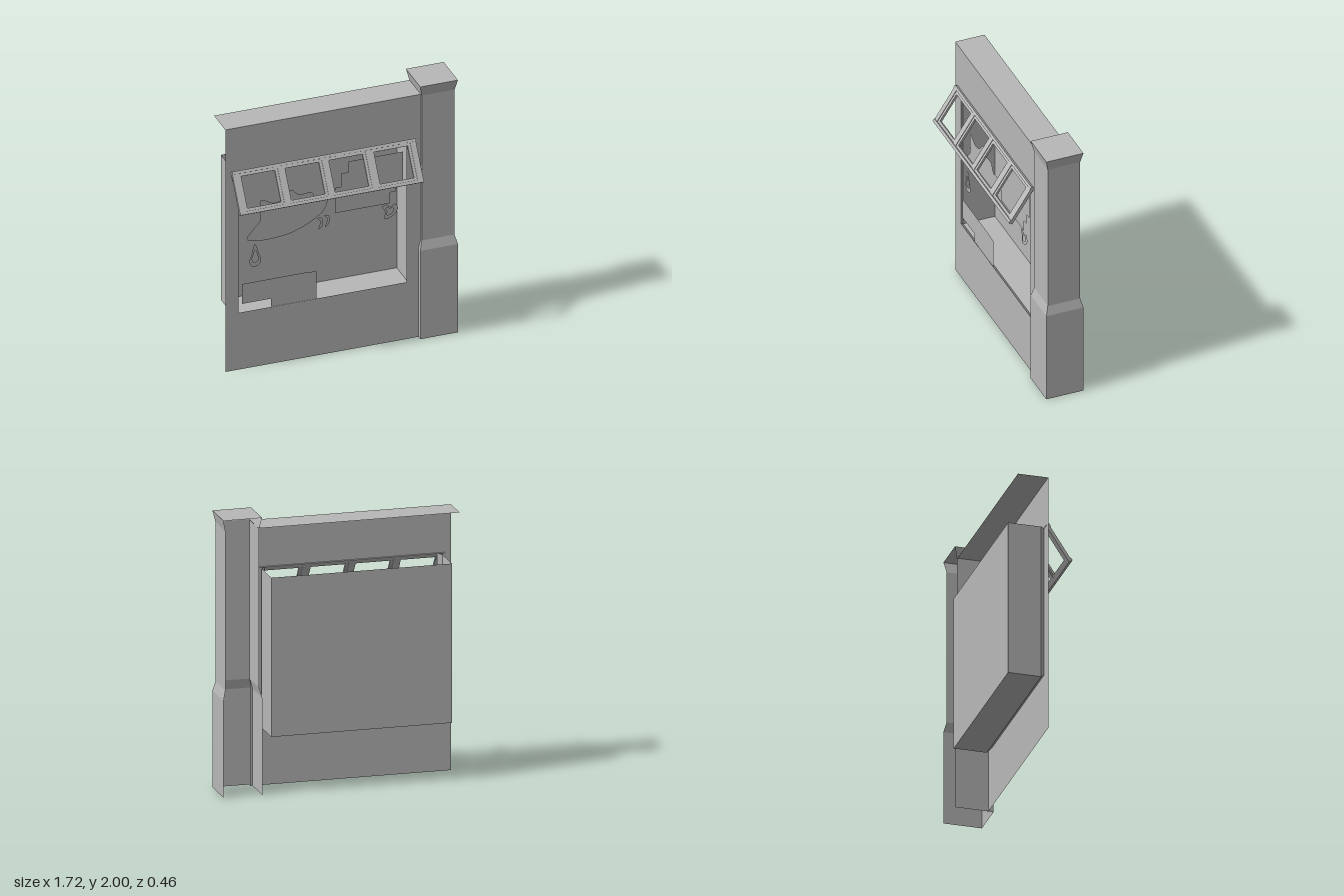
import * as THREE from 'three';

const grey = new THREE.MeshStandardMaterial({ color: 0xb8b8b8, side: THREE.DoubleSide });
grey.name = 'plainGrey';

const V = (x, y, z) => new THREE.Vector3(x, y, z);

// Flat four-cornered faces, corners counter-clockwise from the outside
function quads(list) {
  const p = [];
  for (const [a, b, c, d] of list) for (const v of [a, b, c, a, c, d]) p.push(v.x, v.y, v.z);
  const g = new THREE.BufferGeometry();
  g.setAttribute('position', new THREE.Float32BufferAttribute(p, 3));
  g.computeVertexNormals();
  return g;
}

function outline(points, smooth = false) {
  const s = new THREE.Shape();
  if (smooth) {
    const curve = new THREE.CatmullRomCurve3(points.map(([x, y]) => V(x, y, 0)), true);
    s.setFromPoints(curve.getPoints(points.length * 4).slice(0, -1).map(v => new THREE.Vector2(v.x, v.y)));
  } else s.setFromPoints(points.map(([x, y]) => new THREE.Vector2(x, y)));
  return s;
}

const rect = (x0, y0, x1, y1) => outline([[x0, y0], [x1, y0], [x1, y1], [x0, y1]]);

export function createModel() {
  const model = new THREE.Group();
  const add = (name, geometry, parent = model) => {
    const m = new THREE.Mesh(geometry, grey);
    m.name = name;
    parent.add(m);
    return m;
  };

  // Wall: thin front face with the window opening, and a top that runs back
  const wallZ = 0.04, hole = [-0.76, 0.45, 0.487, 1.575];
  const wall = rect(-0.86, 0, 0.595, 1.92);
  wall.holes.push(rect(...hole));
  add('wallFront', new THREE.ShapeGeometry(wall)).position.z = wallZ;
  add('wallTop', quads([[V(-0.86, 1.92, wallZ), V(0.595, 1.92, wallZ), V(0.595, 1.92, -0.18), V(-0.86, 1.92, -0.18)]]));

  // Display recess: back, sides and floor, open above
  const L = -0.79, R = 0.517, B = 0.42, T = 1.57, zb = -0.23, zf = 0.01;
  add('recessBox', quads([
    [V(R, B, zb), V(L, B, zb), V(L, T, zb), V(R, T, zb)],
    [V(L, B, zb), V(L, B, zf), V(L, T, zf), V(L, T, zb)],
    [V(R, B, zf), V(R, B, zb), V(R, T, zb), V(R, T, zf)],
    [V(L, B, zb), V(R, B, zb), V(R, B, zf), V(L, B, zf)],
  ]));

  // Slanted reveal between the opening and the recess
  const [hl, hb, hr, ht] = hole;
  add('windowReveal', quads([
    [V(hl, hb, wallZ), V(hr, hb, wallZ), V(R, B, zf), V(L, B, zf)],
    [V(hl, ht, wallZ), V(hl, hb, wallZ), V(L, B, zf), V(L, T, zf)],
    [V(hr, hb, wallZ), V(hr, ht, wallZ), V(R, T, zf), V(R, B, zf)],
  ]));

  // Pillar: three sides with a wide foot and flared head, open at the back
  const levels = [[0, 0.14], [0.7, 0.14], [0.77, 0.122], [1.92, 0.122], [2, 0.14]];
  const corners = ([y, h]) => [[-1, -1], [-1, 1], [1, 1], [1, -1]]
    .map(([sx, sz]) => V(0.715 + sx * h, y, -0.063 + sz * h));
  const faces = [];
  for (let i = 0; i < levels.length - 1; i++) {
    const lo = corners(levels[i]), hi = corners(levels[i + 1]);
    for (let k = 0; k < 3; k++) faces.push([lo[k], lo[k + 1], hi[k + 1], hi[k]]);
  }
  const cap = corners(levels[4]);
  faces.push([cap[0], cap[1], cap[2], cap[3]]);
  add('pillar', quads(faces));

  // Tilted window: its own frame lies in x and slope length, hung from the top edge
  const sash = new THREE.Group();
  sash.name = 'tiltedWindow';
  sash.position.set(0, 1.59, 0.06);
  sash.rotation.x = -THREE.MathUtils.degToRad(33.2);
  model.add(sash);
  const x0 = -0.817, x1 = 0.547, len = 0.31;
  const panes = [-0.63, -0.303, 0.022, 0.357];
  const slab = rect(x0, -len, x1, 0);
  for (const c of panes) slab.holes.push(rect(c - 0.147, -len + 0.024, c + 0.147, -0.022));
  const extrude = (shape, depth) => new THREE.ExtrudeGeometry(shape, { depth, bevelEnabled: false });
  add('windowFrame', extrude(slab, 0.024), sash).position.z = -0.03;
  for (const c of panes) {
    const ring = rect(c - 0.147, -len + 0.024, c + 0.147, -0.022);
    ring.holes.push(rect(c - 0.126, -len + 0.042, c + 0.126, -0.042));
    add('paneFrame', extrude(ring, 0.016), sash).position.z = -0.026;
  }
  for (const [y, h] of [[-len + 0.011, 0.022], [-0.01, 0.02]]) {
    add('frameRail', new THREE.BoxGeometry(x1 - x0, h, 0.03), sash)
      .position.set((x0 + x1) / 2, y, -0.015);
  }

  // Flat cut-outs hung in the plane of the window
  const cutout = (name, shape) => { add(name, new THREE.ShapeGeometry(shape)).position.z = 0.038; };
  cutout('lowerPanel', outline([[-0.52, 0.45], [-0.18, 0.45], [-0.18, 0.665], [-0.25, 0.672],
    [-0.735, 0.672], [-0.735, 0.515], [-0.52, 0.515]]));
  cutout('steppedPanel', outline([[-0.045, 1.1], [0.365, 1.1], [0.365, 1.185], [0.405, 1.185],
    [0.405, 1.265], [0.46, 1.265], [0.46, 1.49], [0.23, 1.49], [0.055, 1.49], [0.055, 1.405],
    [0, 1.405], [0, 1.3], [-0.045, 1.3]]));
  cutout('curvedPanel', outline([[-0.7, 1.02], [-0.64, 0.995], [-0.5, 0.99], [-0.36, 1.01],
    [-0.22, 1.07], [-0.12, 1.15], [-0.1, 1.23], [-0.12, 1.25], [-0.18, 1.24], [-0.22, 1.3],
    [-0.31, 1.3], [-0.375, 1.35], [-0.43, 1.29], [-0.5, 1.27], [-0.595, 1.31], [-0.6, 1.15],
    [-0.65, 1.09]], true));

  const ringShape = (pts, cx, cy, k) => {
    const at = s => outline(pts.map(([x, y]) => [cx + x * s, cy + y * s]), true);
    const shape = at(1);
    shape.holes.push(at(k));
    return shape;
  };
  cutout('dropOutline', ringShape([[-0.005, 0.1], [-0.03, 0.02], [-0.045, -0.03], [-0.03, -0.07],
    [0.01, -0.075], [0.042, -0.045], [0.03, 0.01]], -0.635, 0.87, 0.55));
  cutout('heartOutline', ringShape([[-0.035, -0.06], [-0.035, 0], [-0.055, 0.04], [-0.03, 0.055],
    [0.005, 0.03], [0.04, 0.05], [0.062, 0.01], [0.03, -0.04]], 0.362, 1.04, 0.5));
  for (const [x, y] of [[-0.155, 1.04], [-0.105, 1.05]]) {
    cutout('smallStroke', outline([[x - 0.02, y + 0.045], [x + 0.01, y + 0.045], [x + 0.022, y + 0.01],
      [x + 0.012, y - 0.03], [x - 0.012, y - 0.045], [x - 0.006, y - 0.02], [x + 0.004, y + 0.015]], true));
  }

  return model;
}
